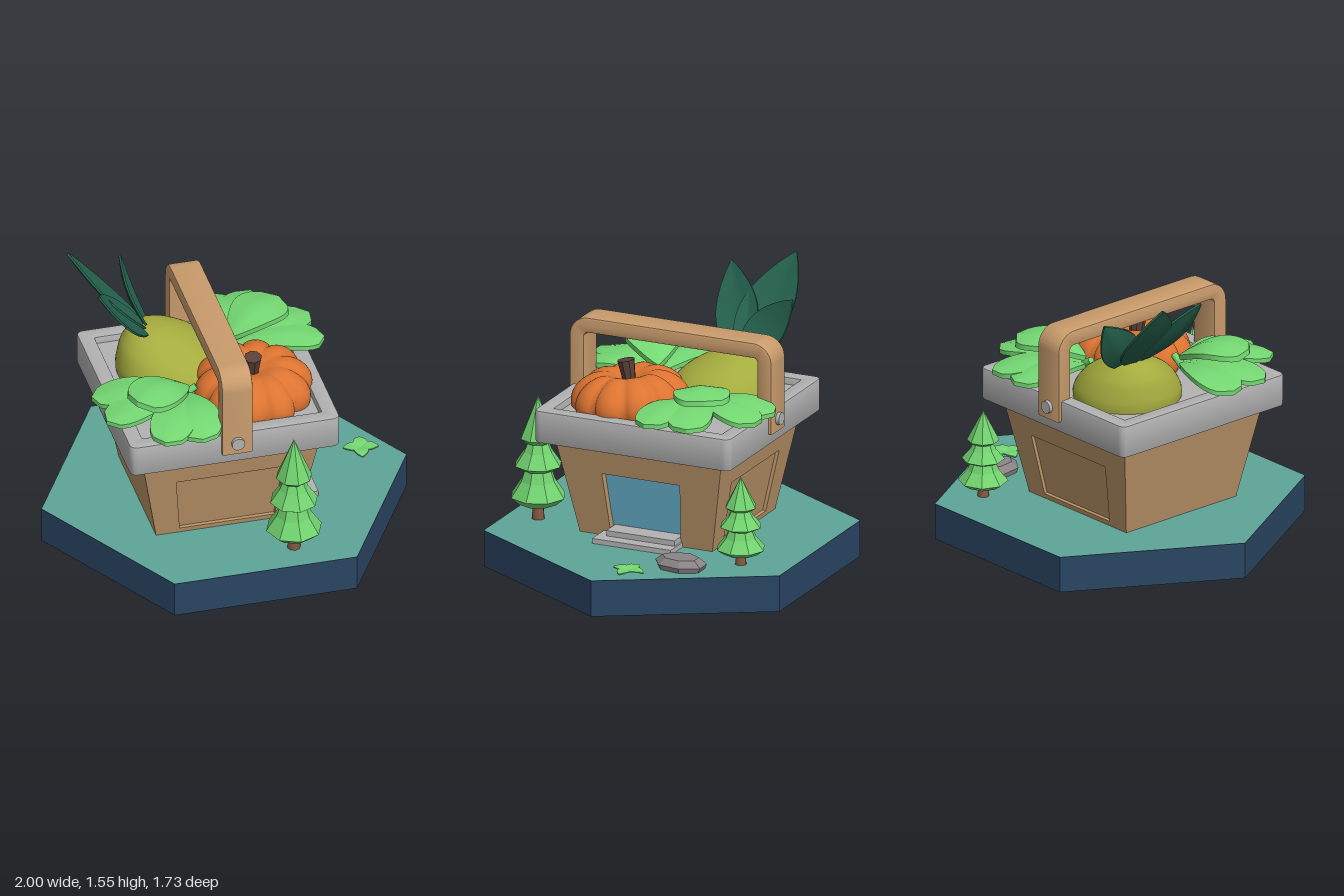
import * as THREE from 'three';
import { mergeVertices, toCreasedNormals } from 'three/addons/utils/BufferGeometryUtils.js';

const V = (x, y, z) => new THREE.Vector3(x, y, z);
const mat = (color, extra = {}) => new THREE.MeshStandardMaterial({ color, ...extra });
const wood = mat(0xba9468), handleWood = mat(0xc99c6c), grey = mat(0xb2b2b2), glass = mat(0x68b3d0);
const leafGreen = mat(0x74d872), darkLeaf = mat(0x24604c), bark = mat(0x865940);
const treeGreen = mat(0x72d36f, { flatShading: true }), rock = mat(0x8b8487, { flatShading: true });

function add(parent, name, geometry, material, x = 0, y = 0, z = 0) {
  const mesh = new THREE.Mesh(geometry, material);
  mesh.name = name;
  mesh.position.set(x, y, z);
  parent.add(mesh);
  return mesh;
}

function group(parent, name, x = 0, y = 0, z = 0) {
  const g = new THREE.Group();
  g.name = name;
  g.position.set(x, y, z);
  parent.add(g);
  return g;
}

// Trapezoid outline: half widths at the bottom and top edges
const trapezoid = (b, t, y0, y1) =>
  [[-b, y0], [b, y0], [t, y1], [-t, y1]].map(p => new THREE.Vector2(...p));

// Rounded square outline
function roundedSquare(h, r) {
  const s = new THREE.Shape();
  for (let i = 0; i < 4; i++) {
    const a = i * Math.PI / 2, c = h - r;
    s.absarc(Math.sign(Math.cos(a + 0.785)) * c, Math.sign(Math.sin(a + 0.785)) * c, r, a, a + Math.PI / 2, false);
  }
  s.closePath();
  return s;
}

// Leaf: a thin slab bent between base and tip; width follows profile(u)
function leaf(parent, name, base, tip, normal, width, profile, material, arch, fold, thick) {
  const geo = new THREE.BoxGeometry(1, 1, 1, 14, 1, 6), p = geo.attributes.position;
  const X = tip.clone().sub(base), length = X.length();
  X.normalize();
  const Z = X.clone().cross(normal).normalize(), Y = Z.clone().cross(X);
  for (let i = 0; i < p.count; i++) {
    const u = p.getX(i) + 0.5, w = p.getZ(i) * width * Math.max(profile(u), 0.02);
    const y = p.getY(i) * thick + arch * Math.sin(Math.PI * u) + fold * Math.abs(w);
    const q = base.clone().addScaledVector(X, u * length).addScaledVector(Y, y).addScaledVector(Z, w);
    p.setXYZ(i, q.x, q.y, q.z);
  }
  geo.computeVertexNormals();
  return add(parent, name, geo, material);
}
const roundProfile = u => Math.sqrt(Math.max(0, 1 - Math.pow(2 * Math.pow(u, 1.7) - 1, 2)));
const pointedProfile = u => Math.pow(Math.sin(Math.PI * Math.pow(u, 0.85)), 0.85);

function basketBody(parent) {
  const body = group(parent, 'basketBody', -0.09, 0.2, 0.01);
  const tilt = Math.atan2(0.1, 0.54), len = Math.hypot(0.1, 0.54);
  const panel = trapezoid(0.26, 0.295, 0.03, 0.375), door = trapezoid(0.205, 0.228, 0.02, 0.375);
  // Front, right, back and left walls
  [[panel, wood, 0.018], [door, glass, 0.04], [panel, wood, 0.018], null].forEach((inset, i) => {
    const turn = group(body, 'wall');
    turn.rotation.y = i * Math.PI / 2;
    const lean = group(turn, 'leaningWall', 0, 0, 0.388);
    lean.rotation.x = tilt;
    const shape = new THREE.Shape(trapezoid(0.388, 0.488, 0, len));
    if (inset) shape.holes.push(new THREE.Path(inset[0]));
    add(lean, 'wallBoard', new THREE.ExtrudeGeometry(shape, { depth: 0.05, bevelEnabled: false }), wood, 0, 0, -0.05);
    if (inset) add(lean, i === 1 ? 'door' : 'insetPanel', new THREE.ShapeGeometry(new THREE.Shape(inset[0])),
      inset[1], 0, 0, -inset[2]);
  });
}

function rim(parent) {
  const shape = roundedSquare(0.565, 0.03);
  shape.holes.push(roundedSquare(0.5, 0.015));
  const geo = new THREE.ExtrudeGeometry(shape, {
    depth: 0.16, bevelThickness: 0.01, bevelSize: 0.01, bevelSegments: 2, curveSegments: 5 });
  geo.rotateX(-Math.PI / 2);
  add(parent, 'rim', toCreasedNormals(geo, 0.6), grey, -0.09, 0.74, 0.01);
  add(parent, 'basketFloor', new THREE.BoxGeometry(1.02, 0.04, 1.02), grey, -0.09, 0.85, 0.01);
}

function handle(parent) {
  // Side profile with z along the shape's x axis
  const s = new THREE.Shape(), o = 0.583, n = 0.518, r = 0.1, q = 0.035;
  s.moveTo(-o, 0.8);
  s.lineTo(-o, 1.28 - r).absarc(-o + r, 1.28 - r, r, Math.PI, Math.PI / 2, true);
  s.absarc(o - r, 1.28 - r, r, Math.PI / 2, 0, true).lineTo(o, 0.8);
  s.lineTo(n, 0.8).absarc(n - q, 1.215 - q, q, 0, Math.PI / 2, false);
  s.absarc(-n + q, 1.215 - q, q, Math.PI / 2, Math.PI, false).lineTo(-n, 0.8);
  s.closePath();
  const geo = new THREE.ExtrudeGeometry(s, {
    depth: 0.15, bevelThickness: 0.01, bevelSize: 0.01, bevelSegments: 2, curveSegments: 8 });
  geo.translate(0, 0, -0.075).rotateY(-Math.PI / 2);
  add(parent, 'handle', toCreasedNormals(geo, 0.6), handleWood, -0.085, 0, 0.01);
  for (const side of [-1, 1]) {
    const peg = add(parent, 'handlePeg', new THREE.CylinderGeometry(0.035, 0.035, 0.05, 16), grey,
      -0.085, 0.86, 0.01 + side * 0.588);
    peg.rotation.x = Math.PI / 2;
  }
}

function pumpkin(parent) {
  const g = group(parent, 'pumpkin', 0.11, 0.92, 0.19);
  g.rotation.x = 0.08;
  const geo = new THREE.SphereGeometry(1, 80, 24), p = geo.attributes.position;
  for (let i = 0; i < p.count; i++) {
    const x = p.getX(i), y = p.getY(i), z = p.getZ(i), d = Math.hypot(x, z);
    const lobe = Math.abs(Math.sin(5 * Math.atan2(x, z)));
    const k = 0.28 + 0.04 * Math.pow(lobe, 0.6);
    const dip = 0.07 * Math.exp(-d * d * 9), ridge = 0.02 * lobe * d;
    p.setXYZ(i, x * k, y * (0.17 - dip + ridge), z * k);
  }
  geo.deleteAttribute('uv');
  geo.deleteAttribute('normal');
  const skin = mergeVertices(geo);
  skin.computeVertexNormals();
  add(g, 'pumpkinSkin', skin, mat(0xdd7431));
  const stem = add(g, 'pumpkinStem', new THREE.CylinderGeometry(0.048, 0.035, 0.12, 8), mat(0x5a4038, { flatShading: true }), -0.01, 0.15, 0.01);
  stem.rotation.x = 0.1;
}

function gourd(parent) {
  const profile = [[0.2, -0.12], [0.27, -0.06], [0.29, 0.02], [0.275, 0.08], [0.23, 0.15], [0.17, 0.2], [0.12, 0.23], [0.07, 0.25], [0, 0.255]];
  const curve = new THREE.SplineCurve(profile.map(p => new THREE.Vector2(...p)));
  const geo = new THREE.LatheGeometry(curve.getPoints(24).map(p => p.setX(Math.max(0, p.x))), 40);
  const p = geo.attributes.position;
  // The shoulder leans toward the leaf crown
  for (let i = 0; i < p.count; i++) {
    const t = Math.max(0, p.getY(i)) / 0.25;
    p.setX(i, p.getX(i) - 0.1 * t * t);
    p.setZ(i, p.getZ(i) - 0.06 * t * t);
  }
  geo.computeVertexNormals();
  add(parent, 'gourd', geo, mat(0xa5ac3e), -0.25, 0.87, -0.17);
  const base = V(-0.35, 1.08, -0.23), n = V(1, 0.6, 0);
  for (const [tip, w] of [[V(-0.76, 1.55, -0.37), 0.29], [V(-0.68, 1.48, -0.03), 0.24], [V(-0.44, 1.4, -0.5), 0.22]])
    leaf(parent, 'crownLeaf', base, tip, n, w, pointedProfile, darkLeaf, -0.035, 0.2, 0.012);
}

// Fan of leafy greens spilling over the rim
function greens(parent, x, z, turn) {
  const g = group(parent, 'leafyGreens', x, 0, z);
  g.rotation.y = turn;
  const up = V(0, 1, 0);
  for (const [dx, dz, w] of [[-0.51, -0.07, 0.24], [-0.49, 0.17, 0.24], [-0.24, 0.45, 0.24], [-0.04, 0.47, 0.25]])
    leaf(g, 'lowerLeaf', V(0, 0.94, 0), V(dx, 0.95, dz), up, w, roundProfile, leafGreen, 0.05, -0.12, 0.025);
  leaf(g, 'upperLeaf', V(0, 0.98, 0), V(-0.33, 1.06, 0.2), up, 0.3, roundProfile, leafGreen, 0.06, -0.15, 0.03);
  const stalk = add(g, 'stalk', new THREE.CylinderGeometry(0.018, 0.022, 0.08, 8), leafGreen, 0.01, 0.96, 0);
  stalk.rotation.z = -1;
}

function tree(parent, x, z, sx, sy) {
  const g = group(parent, 'pineTree', x, 0.2, z);
  g.scale.set(sx, sy, sx);
  add(g, 'trunk', new THREE.CylinderGeometry(0.025, 0.036, 0.14, 8), bark, 0, 0.07, 0);
  // Each tier: underside height, rim height, top height, rim radius, top radius
  for (const [y0, y1, y2, r, rt] of [[0.08, 0.13, 0.32, 0.152, 0.06], [0.27, 0.305, 0.47, 0.13, 0.04], [0.42, 0.455, 0.69, 0.098, 0]]) {
    const mid = y1 + (y2 - y1) * 0.45;
    const pts = [[0, y0], [r * 0.7, y0 + 0.01], [r, y1], [r * 0.55 + rt * 0.2, mid], [rt, y2], [0, y2]];
    add(g, 'pineTier', new THREE.LatheGeometry(pts.map(p => new THREE.Vector2(...p)), 8), treeGreen);
  }
}

export function createModel() {
  const model = new THREE.Group();
  model.name = 'harvestBasketHouse';

  // Hexagonal base with coloured ground
  const slab = new THREE.CylinderGeometry(1, 1, 0.2, 6).rotateY(Math.PI / 6);
  add(model, 'baseSlab', slab, mat(0x2a4563, { flatShading: true }), 0, 0.1, 0);
  add(model, 'groundTop', new THREE.CircleGeometry(1, 6).rotateX(-Math.PI / 2), mat(0x5fa598), 0, 0.202, 0);

  basketBody(model);
  rim(model);
  handle(model);
  pumpkin(model);
  gourd(model);
  greens(model, -0.25, 0.2, 0);
  greens(model, 0.07, -0.18, Math.PI);
  tree(model, 0.2, 0.69, 1, 1);
  tree(model, 0.415, -0.6, 0.88, 0.71);

  // Door steps
  add(model, 'lowerStep', new THREE.BoxGeometry(0.2, 0.03, 0.46), grey, 0.35, 0.215, 0.025);
  add(model, 'upperStep', new THREE.BoxGeometry(0.13, 0.06, 0.4), grey, 0.315, 0.23, 0.005);

  // Faceted boulder
  const stone = [[0.09, 0], [0.1, 0.03], [0.07, 0.065], [0, 0.067]].map(p => new THREE.Vector2(...p));
  const boulder = add(model, 'boulder', new THREE.LatheGeometry(stone, 7), rock, 0.61, 0.2, -0.34);
  boulder.scale.z = 1.48;

  // Small ground plant with four leaves
  for (let i = 0; i < 4; i++) {
    const a = i * Math.PI / 2 + 0.15, c = V(0.78, 0.208, -0.115);
    leaf(model, 'groundLeaf', c, V(c.x + 0.095 * Math.cos(a), 0.212, c.z + 0.095 * Math.sin(a)),
      V(0, 1, 0), 0.075, pointedProfile, leafGreen, 0.008, 0, 0.006);
  }
  return model;
}
